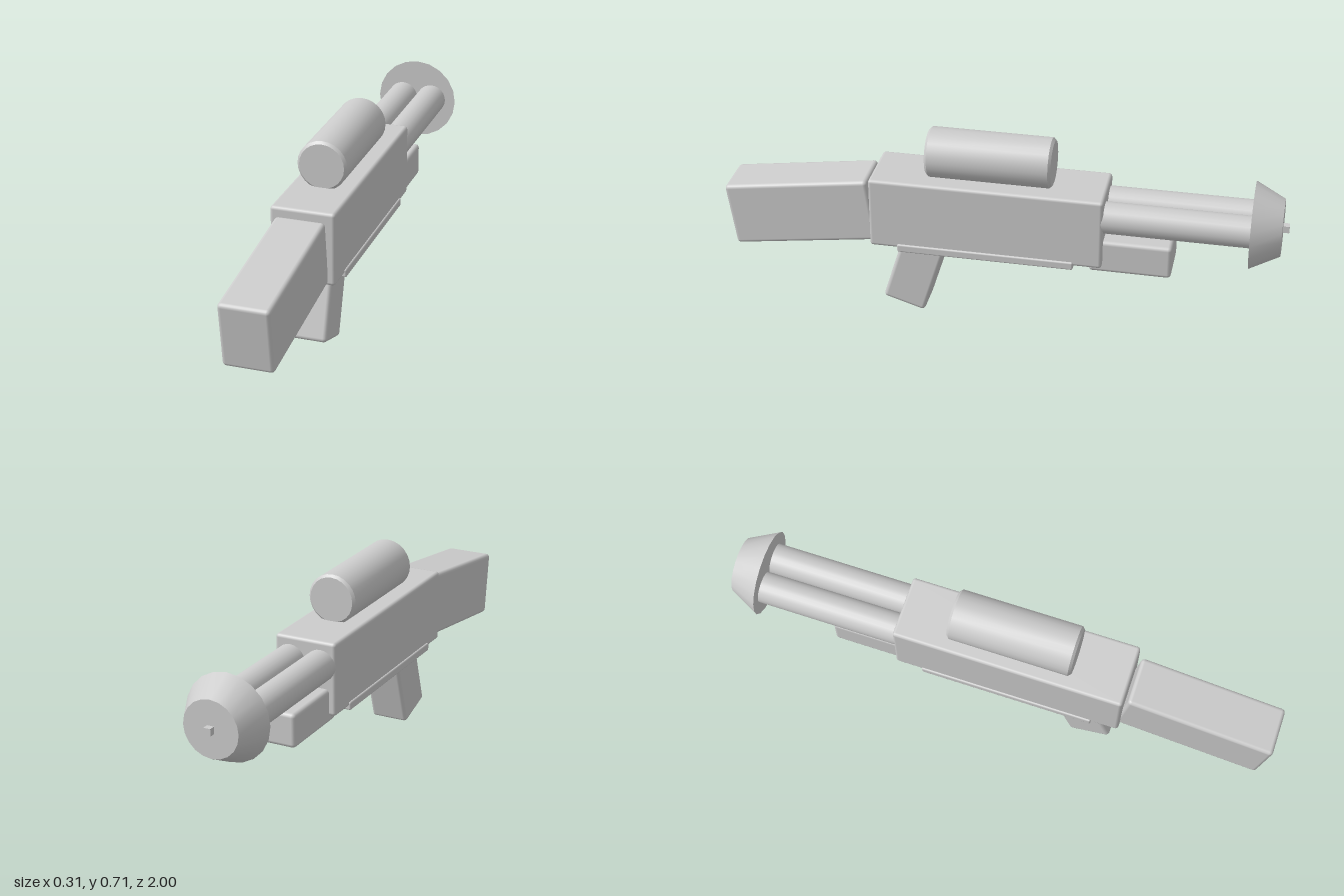
import * as THREE from 'three';
import { toCreasedNormals } from 'three/addons/utils/BufferGeometryUtils.js';
import { RoundedBoxGeometry } from 'three/addons/geometries/RoundedBoxGeometry.js';

export function createModel() {
  const model = new THREE.Group();
  model.name = 'toyBlaster';
  const grey = new THREE.MeshStandardMaterial({ color: 0xcccccc });
  grey.name = 'plainGrey';

  function add(name, geometry, x, y, z, tilt = 0) {
    const mesh = new THREE.Mesh(geometry, grey);
    mesh.name = name;
    mesh.position.set(x, y, z);
    mesh.rotation.x = tilt;
    model.add(mesh);
    return mesh;
  }
  const block = (w, h, d, r) => new RoundedBoxGeometry(w, h, d, 2, r);

  // Lathe turned to run along z; profile points are [radius, z]
  function turned(profile, sides) {
    const points = profile.map(([r, z]) => new THREE.Vector2(r, z));
    const lathe = new THREE.LatheGeometry(points, sides).rotateX(Math.PI / 2);
    return toCreasedNormals(lathe, 0.6);
  }

  // Body, stock, grip and forend
  add('receiver', block(0.228, 0.263, 0.83, 0.012), 0, 0.4165, 0.045);
  add('bottomRail', block(0.24, 0.03, 0.63, 0.006), 0, 0.287, 0.045);
  add('stock', block(0.176, 0.236, 0.53, 0.014), 0, 0.371, 0.72, 0.14);
  add('grip', block(0.14, 0.3, 0.157, 0.014), 0, 0.168, 0.31, -0.3);
  add('forend', block(0.18, 0.122, 0.29, 0.014), 0, 0.32, -0.465);

  // Trigger guard: lower half ring
  const guard = new THREE.TorusGeometry(0.06, 0.01, 8, 20, Math.PI);
  guard.rotateZ(Math.PI).rotateY(Math.PI / 2);
  add('triggerGuard', guard, 0, 0.275, 0.152);

  // Scope with bevelled rims
  add('scope', turned([
    [0, -0.222], [0.08, -0.222], [0.089, -0.213],
    [0.089, 0.213], [0.08, 0.222], [0, 0.222],
  ], 24), 0, 0.625, 0.042);

  // Twin barrels
  for (const side of [-1, 1]) {
    const barrel = new THREE.CylinderGeometry(0.056, 0.056, 0.54, 24).rotateX(Math.PI / 2);
    add(side > 0 ? 'leftBarrel' : 'rightBarrel', barrel, side * 0.057, 0.463, -0.62);
  }

  // Tapered muzzle and its tip
  add('muzzle', turned([[0, -0.052], [0.1, -0.052], [0.153, 0.052], [0, 0.052]], 20), 0, 0.459, -0.926);
  add('muzzleTip', new THREE.BoxGeometry(0.025, 0.025, 0.04), 0, 0.459, -0.98);

  return model;
}
